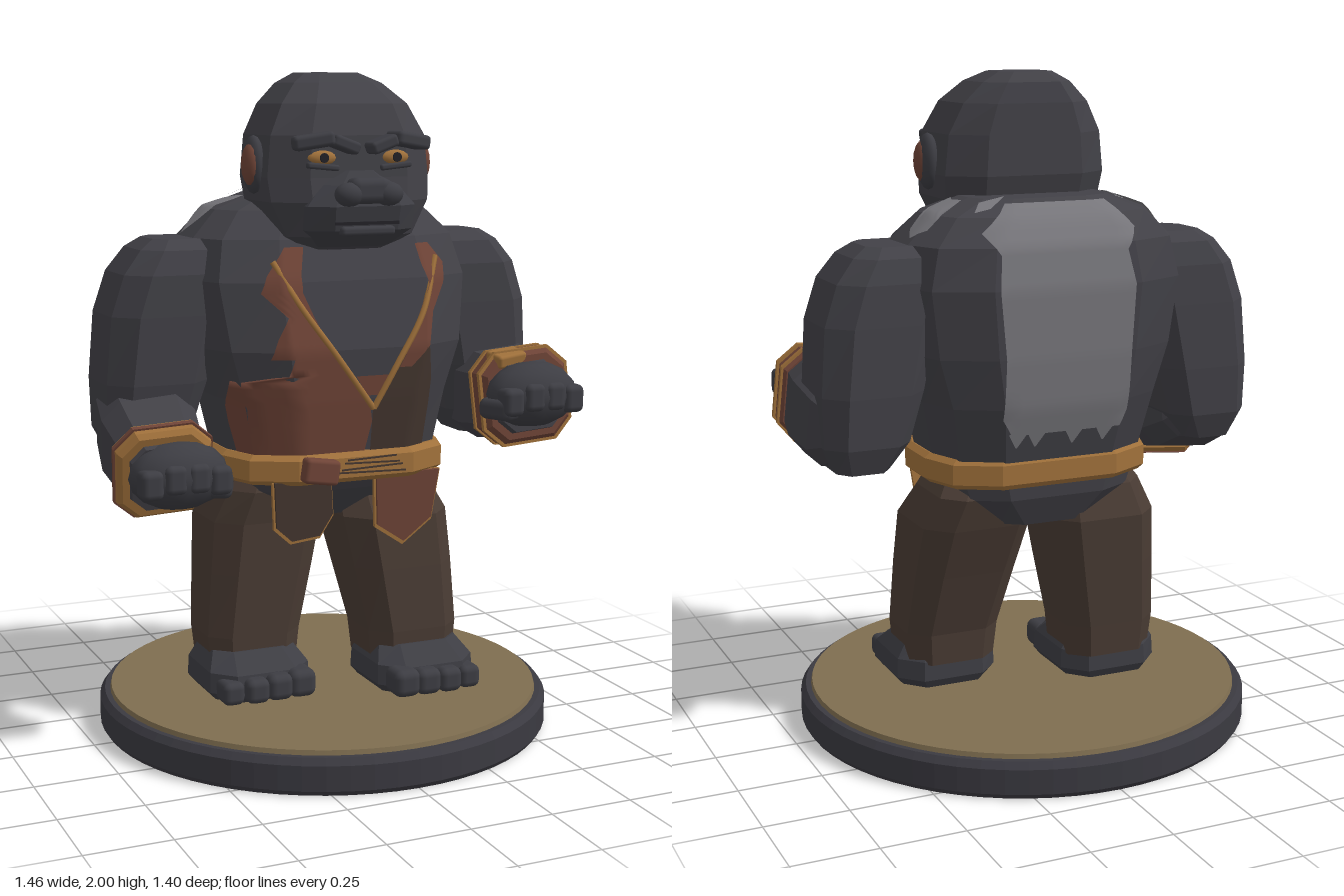
import * as THREE from 'three';
import { RoundedBoxGeometry } from 'three/addons/geometries/RoundedBoxGeometry.js';

const mat = (name, color, side = THREE.FrontSide) => {
  const m = new THREE.MeshStandardMaterial({ color, side });
  m.name = name;
  return m;
};
const V = (x, y, z) => new THREE.Vector3(x, y, z);

// Cross-section outlines (one quarter, mirrored to a full ring)
const ring = (q) => [...q, ...q.map(([x, z]) => [-x, z]).reverse(),
  ...q.map(([x, z]) => [-x, -z]), ...q.map(([x, z]) => [x, -z]).reverse()];
const BODY = ring([[1, 0.3], [0.88, 0.74], [0.52, 1]]);
const BLOCK = ring([[1, 0.6], [0.6, 1]]);

// Faceted solid through horizontal sections [y, centreX, halfWidth, backZ, frontZ]
function loft(sections, outline) {
  const p = [], n = outline.length;
  const rings = sections.map(([y, cx, w, z0, z1]) =>
    outline.map(([a, b]) => [cx + w * a, y, (z0 + z1) / 2 + (b * (z1 - z0)) / 2]));
  const mid = ([y, cx, , z0, z1]) => [cx, y, (z0 + z1) / 2];
  for (let i = 0; i < n; i++) {
    const j = (i + 1) % n;
    for (let k = 0; k + 1 < rings.length; k++) {
      const a = rings[k], u = rings[k + 1];
      p.push(...a[i], ...u[i], ...a[j], ...u[i], ...u[j], ...a[j]);
    }
    p.push(...mid(sections[0]), ...rings[0][i], ...rings[0][j]);
    const t = rings.at(-1);
    p.push(...mid(sections.at(-1)), ...t[j], ...t[i]);
  }
  const g = new THREE.BufferGeometry();
  g.setAttribute('position', new THREE.Float32BufferAttribute(p, 3));
  g.computeVertexNormals();
  return g;
}

export function createModel() {
  const root = new THREE.Group();
  root.name = 'apeFigure';
  const D = THREE.DoubleSide;
  const fur = mat('fur', 0x424147), skin = mat('skin', 0x3d3d43);
  const trousers = mat('trousers', 0x4a3c34), rust = mat('rustLeather', 0x6f4437, D);
  const leather = mat('darkLeather', 0x44362f, D), gold = mat('goldTrim', 0xa0713b, D);
  const silver = mat('silverFur', 0x77767b, D), tan = mat('ground', 0x7f6e50);
  const rim = mat('baseRim', 0x3b3a41), dark = mat('darkLine', 0x222126);

  const add = (name, geo, material, pos = [0, 0, 0], rot = [0, 0, 0], scale = [1, 1, 1]) => {
    const m = new THREE.Mesh(geo, material);
    m.name = name;
    m.position.set(...pos); m.rotation.set(...rot); m.scale.set(...scale);
    root.add(m);
    return m;
  };
  const rbox = (w, h, d, r = 0.25) => new RoundedBoxGeometry(w, h, d, 2, Math.min(w, h, d) * r);
  const ball = (r = 1) => new THREE.SphereGeometry(r, 12, 8);

  // Round base
  add('baseRim', new THREE.LatheGeometry([[0, 0], [0.69, 0], [0.7, 0.015], [0.7, 0.09], [0.685, 0.11], [0, 0.11]]
    .map(([x, y]) => new THREE.Vector2(x, y)), 64).toNonIndexed(), rim).geometry.computeVertexNormals();
  add('baseGround', new THREE.CylinderGeometry(0.665, 0.67, 0.02, 64), tan, [0, 0.114, 0]);

  // Torso and pelvis
  const torso = add('torso', loft([
    [0.67, 0, 0.17, -0.22, 0.1], [0.76, 0, 0.29, -0.26, 0.17], [0.86, 0, 0.33, -0.27, 0.23],
    [1.05, 0, 0.37, -0.32, 0.26], [1.2, 0, 0.42, -0.335, 0.275], [1.4, 0, 0.45, -0.34, 0.24],
    [1.52, 0, 0.42, -0.32, 0.19], [1.6, 0, 0.34, -0.27, 0.12], [1.645, 0, 0.22, -0.2, 0.05]], BODY), fur);
  torso.updateMatrixWorld(true);

  // Drop a 2D point on to the torso: front and back use (x, y), top uses (x, z)
  const ray = new THREE.Raycaster();
  const dirs = { front: V(0, 0, -1), back: V(0, 0, 1), top: V(0, -1, 0) };
  const onTorso = (x, v, from, gap) => {
    const dir = dirs[from];
    ray.set((from === 'top' ? V(x, 0, v) : V(x, v, 0)).addScaledVector(dir, -3), dir);
    const hit = ray.intersectObject(torso)[0];
    return (hit ? hit.point : V(x * 0.9, 1.4, 0)).addScaledVector(dir, -gap);
  };
  // Thin patch hugging the torso, from rows [v, x0, x1]
  const drape = (name, rows, material, from = 'front', gap = 0.008) => {
    const pos = [], idx = [], nx = 14;
    let count = 0;
    for (let r = 0; r + 1 < rows.length; r++) {
      const steps = Math.max(1, Math.ceil(Math.abs(rows[r + 1][0] - rows[r][0]) / 0.025));
      for (let s = r ? 1 : 0; s <= steps; s++, count++) {
        const [v, x0, x1] = rows[r].map((a, i) => a + ((rows[r + 1][i] - a) * s) / steps);
        for (let i = 0; i <= nx; i++) pos.push(...onTorso(x0 + ((x1 - x0) * i) / nx, v, from, gap).toArray());
      }
    }
    for (let r = 0; r + 1 < count; r++) for (let i = 0; i < nx; i++) {
      const a = r * (nx + 1) + i, b = a + nx + 1;
      if (from === 'front') idx.push(a, a + 1, b, a + 1, b + 1, b);
      else idx.push(a, b, a + 1, a + 1, b, b + 1);
    }
    const g = new THREE.BufferGeometry();
    g.setAttribute('position', new THREE.Float32BufferAttribute(pos, 3));
    g.setIndex(idx);
    g.computeVertexNormals();
    return add(name, g, material);
  };
  const cord = (name, pts, r = 0.009) => add(name, new THREE.TubeGeometry(new THREE.CatmullRomCurve3(
    pts.map(([x, y]) => onTorso(x, y, 'front', 0.012))), 24, r, 6), gold);

  // Torn vest, each row [y, x0, x1] from low to high
  drape('vestRightLower', [[0.88, -0.32, 0.03], [0.98, -0.345, 0.05], [1.03, -0.355, 0.04], [1.11, -0.36, -0.02],
    [1.13, -0.22, -0.035], [1.24, -0.19, -0.11]], rust);
  drape('vestRightUpper', [[1.18, -0.27, -0.06], [1.24, -0.25, -0.11], [1.3, -0.22, -0.14], [1.37, -0.29, -0.17],
    [1.42, -0.27, -0.17], [1.5, -0.21, -0.15]], rust);
  drape('vestLeftLower', [[0.88, 0.05, 0.24], [1.02, 0.05, 0.25], [1.1, 0.1, 0.25], [1.2, 0.16, 0.23]], leather);
  drape('vestLeftUpper', [[1.14, 0.13, 0.17], [1.2, 0.16, 0.23], [1.3, 0.2, 0.25], [1.38, 0.24, 0.3],
    [1.44, 0.22, 0.31], [1.5, 0.21, 0.26]], rust, 'front', 0.009);
  drape('vestKnot', [[1.06, 0.03, 0.08], [1.12, -0.01, 0.1]], rust);
  cord('vestTrimRight', [[-0.25, 1.46], [-0.18, 1.33], [-0.08, 1.19], [0.05, 1.02]]);
  cord('vestTrimLeft', [[0.28, 1.46], [0.21, 1.3], [0.12, 1.15], [0.05, 1.02]]);

  // Silver fur over the back and shoulders
  drape('silverBack', [[0.97, -0.18, 0.17], [1.02, -0.2, 0.2], [1.2, -0.2, 0.2], [1.4, -0.21, 0.22],
    [1.5, -0.19, 0.21], [1.56, -0.23, 0.25], [1.635, -0.17, 0.15]], silver, 'back', 0.01);
  for (const x of [-0.13, -0.03, 0.09, 0.15])
    drape('silverTuft', [[0.93, x, x + 0.004], [0.975, x - 0.03, x + 0.03]], silver, 'back', 0.01);
  drape('silverShoulderRight', [[-0.14, -0.36, -0.33], [-0.1, -0.42, -0.28], [-0.06, -0.38, -0.26], [-0.02, -0.28, -0.25]], silver, 'top');
  drape('silverShoulderLeft', [[-0.17, 0.32, 0.37], [-0.13, 0.25, 0.41], [-0.08, 0.26, 0.39], [-0.05, 0.25, 0.32]], silver, 'top');
  drape('silverSpotLeft', [[-0.23, 0.2, 0.25], [-0.19, 0.14, 0.22]], silver, 'top');
  drape('silverSpotRight', [[-0.18, -0.25, -0.22], [-0.15, -0.22, -0.2]], silver, 'top');

  // Belt with buckle and cords
  add('belt', loft([[0.8, 0, 0.34, -0.27, 0.245], [0.815, 0, 0.358, -0.28, 0.26],
    [0.875, 0, 0.358, -0.28, 0.26], [0.89, 0, 0.34, -0.27, 0.245]], BODY), gold);
  add('buckle', rbox(0.11, 0.075, 0.05), rust, [-0.125, 0.845, 0.275], [0, 0, -0.15]);
  for (let i = 0; i < 4; i++)
    add('beltCordGap', new THREE.BoxGeometry(0.22 - 0.02 * i, 0.005, 0.008), leather,
      [0.05, 0.828 + i * 0.014, 0.26], [0, 0, 0.03 * (i % 2 ? 1 : -1)]);

  // Hanging flaps with a trimmed edge
  const flap = (name, pts, material) => {
    const cx = pts.reduce((s, q) => s + q[0], 0) / pts.length;
    [[1, material, 0.012, 0], [1.06, gold, 0.012, -0.008]].forEach(([k, m, depth, z]) => {
      const shape = new THREE.Shape(pts.map(([x, y]) => new THREE.Vector2(cx + (x - cx) * k, (y - 0.8) * k)));
      add(k === 1 ? name : name + 'Trim', new THREE.ExtrudeGeometry(shape, { depth, bevelEnabled: false }),
        m, [0, 0.8, 0.215 + z], [0.08, 0, 0]);
    });
  };
  flap('flapRight', [[-0.25, 0.81], [-0.24, 0.67], [-0.19, 0.625], [-0.1, 0.635], [-0.06, 0.7], [-0.07, 0.81]], leather);
  flap('flapLeft', [[0.08, 0.81], [0.09, 0.65], [0.18, 0.59], [0.27, 0.66], [0.29, 0.81]], rust);

  // Legs and feet: the left leg steps forward
  for (const [s, dz, side] of [[1, 0.13, 'left'], [-1, 0, 'right']]) {
    add(side + 'Leg', loft([[0.2, 0.24 * s, 0.14, -0.18 + dz, 0.07 + dz], [0.3, 0.24 * s, 0.15, -0.19 + dz, 0.075 + dz],
      [0.5, 0.215 * s, 0.165, -0.215 + dz * 0.7, 0.09 + dz * 0.85], [0.66, 0.195 * s, 0.175, -0.235 + dz * 0.4, 0.1 + dz * 0.7],
      [0.76, 0.18 * s, 0.15, -0.21, 0.12], [0.82, 0.17 * s, 0.12, -0.16, 0.1]], BLOCK), trousers);
    add(side + 'Foot', loft([[0.122, 0.25 * s, 0.14, -0.16 + dz, 0.15 + dz], [0.15, 0.25 * s, 0.163, -0.175 + dz, 0.17 + dz],
      [0.21, 0.25 * s, 0.16, -0.17 + dz, 0.16 + dz], [0.26, 0.25 * s, 0.13, -0.14 + dz, 0.08 + dz]], BLOCK), skin);
    for (let i = 0; i < 4; i++)
      add(side + 'Toe', rbox(0.085 - i * 0.006, 0.085 - i * 0.005, 0.1, 0.3), skin,
        [s * (0.145 + i * 0.073), 0.172 - i * 0.003, 0.155 + dz - (i === 3 ? 0.015 : 0)]);
  }

  // Limb segment from a to b with sections [t, halfWidth]
  const limb = (name, a, b, secs, material) => {
    const d = V(...b).sub(V(...a)), len = d.length();
    const m = add(name, loft(secs.map(([t, w]) => [t * len, 0, w, -w, w]), BLOCK), material, a);
    m.quaternion.setFromUnitVectors(V(0, 1, 0), d.normalize());
  };
  const arms = [
    { side: 'left', s: 1, elbow: [0.59, 1.0, -0.1], wrist: [0.55, 1.03, 0.33], fist: [0.535, 1.045, 0.355], band: rust, from: 0.68, to: 0.94 },
    { side: 'right', s: -1, elbow: [-0.565, 0.98, -0.1], wrist: [-0.59, 0.86, 0.25], fist: [-0.56, 0.87, 0.265], band: gold, from: 0.78, to: 0.96 }];
  for (const { side, s, elbow, wrist, fist, band, from, to } of arms) {
    add(side + 'UpperArm', loft([[0.87, 0.57 * s, 0.08, -0.19, 0.02], [0.95, 0.56 * s, 0.13, -0.22, 0.06],
      [1.1, 0.54 * s, 0.155, -0.23, 0.09], [1.3, 0.51 * s, 0.17, -0.225, 0.1],
      [1.42, 0.475 * s, 0.165, -0.22, 0.1], [1.49, 0.45 * s, 0.135, -0.2, 0.08], [1.52, 0.45 * s, 0.09, -0.16, 0.04]], BLOCK), fur);
    limb(side + 'Forearm', elbow, wrist, [[-0.15, 0.08], [0, 0.125], [0.4, 0.14], [0.75, 0.125], [1, 0.1]], fur);
    limb(side + 'Bracer', elbow, wrist, [[from, 0.132], [from + 0.04, 0.143], [to - 0.04, 0.138], [to, 0.125]], band);
    if (s > 0) {
      for (const t of [0.71, 0.86]) limb('bracerTrim', elbow, wrist, [[t, 0.147], [t + 0.04, 0.147]], gold);
      add('bracerPlate', rbox(0.1, 0.04, 0.08), gold, [0.5, 1.145, 0.26], [0.15, 0.1, 0.1]);
    } else limb('bracerStrap', elbow, wrist, [[0.84, 0.146], [0.88, 0.146]], rust);
    // Fist
    const [x, y, z] = fist;
    add(side + 'Palm', ball(), skin, fist, [0, 0, 0], [0.15, 0.1, 0.095]);
    for (let i = 0; i < 4; i++)
      add(side + 'Finger', rbox(0.066, 0.085, 0.075, 0.3), skin,
        [x + (i - 1.5) * 0.068, y + 0.008 - 0.012 * Math.abs(i - 1.5), z + 0.062 - 0.006 * Math.abs(i - 1.5)]);
    add(side + 'Thumb', rbox(0.07, 0.065, 0.12, 0.35), skin, [x - s * 0.12, y - 0.035, z + 0.02], [0, s * 0.4, 0]);
  }

  // Head
  add('head', loft([[1.49, 0, 0.13, 0.02, 0.22], [1.53, 0, 0.2, -0.03, 0.265], [1.63, 0, 0.25, -0.08, 0.28],
    [1.7, 0, 0.257, -0.1, 0.27], [1.82, 0, 0.245, -0.1, 0.265], [1.91, 0, 0.2, -0.1, 0.235],
    [1.97, 0, 0.14, -0.09, 0.17], [2.0, 0, 0.085, -0.06, 0.1]], BLOCK), fur);
  add('muzzle', loft([[1.5, 0, 0.11, 0.1, 0.26], [1.55, 0, 0.165, 0.1, 0.32], [1.62, 0, 0.17, 0.1, 0.335],
    [1.68, 0, 0.12, 0.1, 0.31], [1.72, 0, 0.06, 0.1, 0.28]], BLOCK), skin);
  add('mouth', new THREE.BoxGeometry(0.2, 0.009, 0.009), dark, [0, 1.572, 0.325]);
  add('lowerLip', rbox(0.17, 0.028, 0.04, 0.4), skin, [0, 1.55, 0.32]);
  add('nose', rbox(0.12, 0.075, 0.07, 0.35), skin, [0, 1.665, 0.325]);
  for (const s of [-1, 1]) {
    add('nostril', ball(), skin, [0.062 * s, 1.655, 0.335], [0, 0, 0], [0.045, 0.035, 0.035]);
    add('eye', ball(), gold, [0.115 * s, 1.757, 0.262], [0, 0, 0], [0.045, 0.022, 0.018]);
    add('pupil', new THREE.CylinderGeometry(0.014, 0.014, 0.006, 10), dark, [0.115 * s, 1.757, 0.28], [Math.PI / 2, 0, 0]);
    add('lowerLid', rbox(0.1, 0.018, 0.025, 0.4), skin, [0.115 * s, 1.732, 0.268], [0, 0, 0.1 * s]);
    add('innerBrow', rbox(0.085, 0.036, 0.07, 0.3), skin, [0.06 * s, 1.795, 0.29], [0, 0, 0.35 * s]);
    add('outerBrow', rbox(0.12, 0.042, 0.075, 0.3), skin, [0.15 * s, 1.805, 0.28], [0, 0.25 * s, -0.15 * s]);
    add('ear', ball(), skin, [0.262 * s, 1.735, 0.1], [0, 0, 0], [0.03, 0.085, 0.055]);
    add('innerEar', ball(), rust, [0.275 * s, 1.735, 0.11], [0, 0, 0], [0.026, 0.062, 0.04]);
  }
  return root;
}
